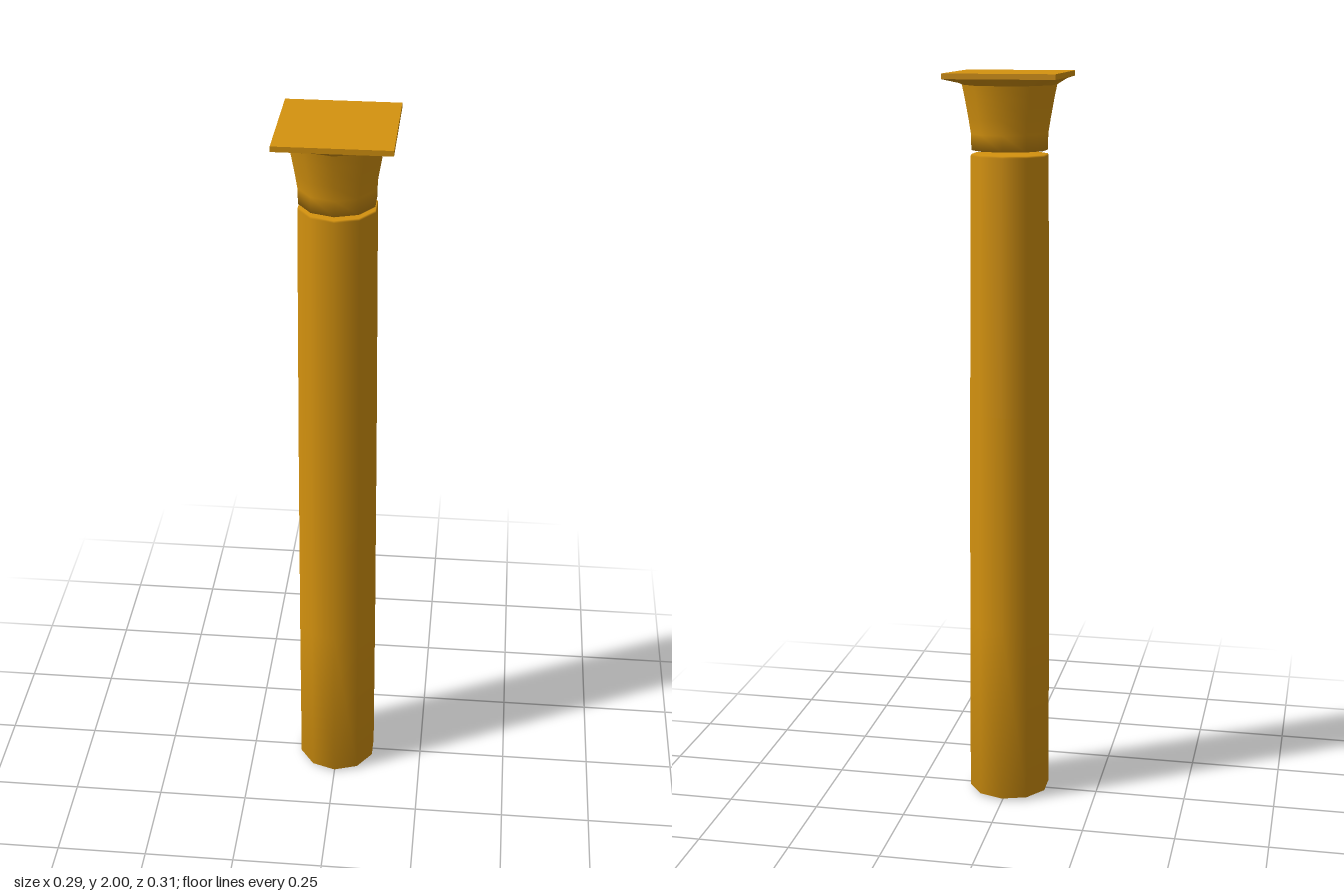
import * as THREE from 'three';

const SIDES = 10;

export function createModel() {
  const group = new THREE.Group();
  const material = new THREE.MeshStandardMaterial({ color: 0xd4920f });
  const add = (name, geometry) => {
    const mesh = new THREE.Mesh(geometry, material);
    mesh.name = name;
    group.add(mesh);
    return mesh;
  };
  // ten-sided turned part from [radius, height] points
  const turned = (points) =>
    new THREE.LatheGeometry(points.map(([r, y]) => new THREE.Vector2(r, y)), SIDES);

  // tapering shaft, closed at both ends
  add('shaft', turned([[0, 0], [0.112, 0.007], [0.111, 0.5], [0.108, 1.1], [0.103, 1.785], [0.101, 1.79], [0, 1.79]]));

  // flared bell of the capital, separated from the shaft by a narrow gap
  add('capitalBell', turned([[0, 1.8], [0.101, 1.8], [0.102, 1.842], [0.108, 1.88], [0.118, 1.935], [0.125, 1.968]]));

  // underside of the abacus: lofts from the ten-sided bell to the rectangle
  const hx = 0.147, hz = 0.154, steps = 40;
  const positions = [], indices = [];
  const sector = (2 * Math.PI) / SIDES;
  for (let i = 0; i <= steps; i++) {
    const a = (i / steps) * Math.PI * 2, s = Math.sin(a), c = Math.cos(a);
    const r = (0.125 * Math.cos(sector / 2)) / Math.cos((a % sector) - sector / 2);
    const q = 1 / Math.max(Math.abs(s), Math.abs(c));
    positions.push(r * s, 1.968, r * c, hx * q * s, 1.986, hz * q * c);
    if (i < steps) {
      const k = i * 2;
      indices.push(k, k + 2, k + 1, k + 1, k + 2, k + 3);
    }
  }
  const loft = new THREE.BufferGeometry();
  loft.setAttribute('position', new THREE.Float32BufferAttribute(positions, 3));
  loft.setIndex(indices);
  loft.computeVertexNormals();
  add('abacusUnderside', loft);

  // flat top slab
  add('abacus', new THREE.BoxGeometry(hx * 2, 0.014, hz * 2)).position.y = 1.993;

  return group;
}
